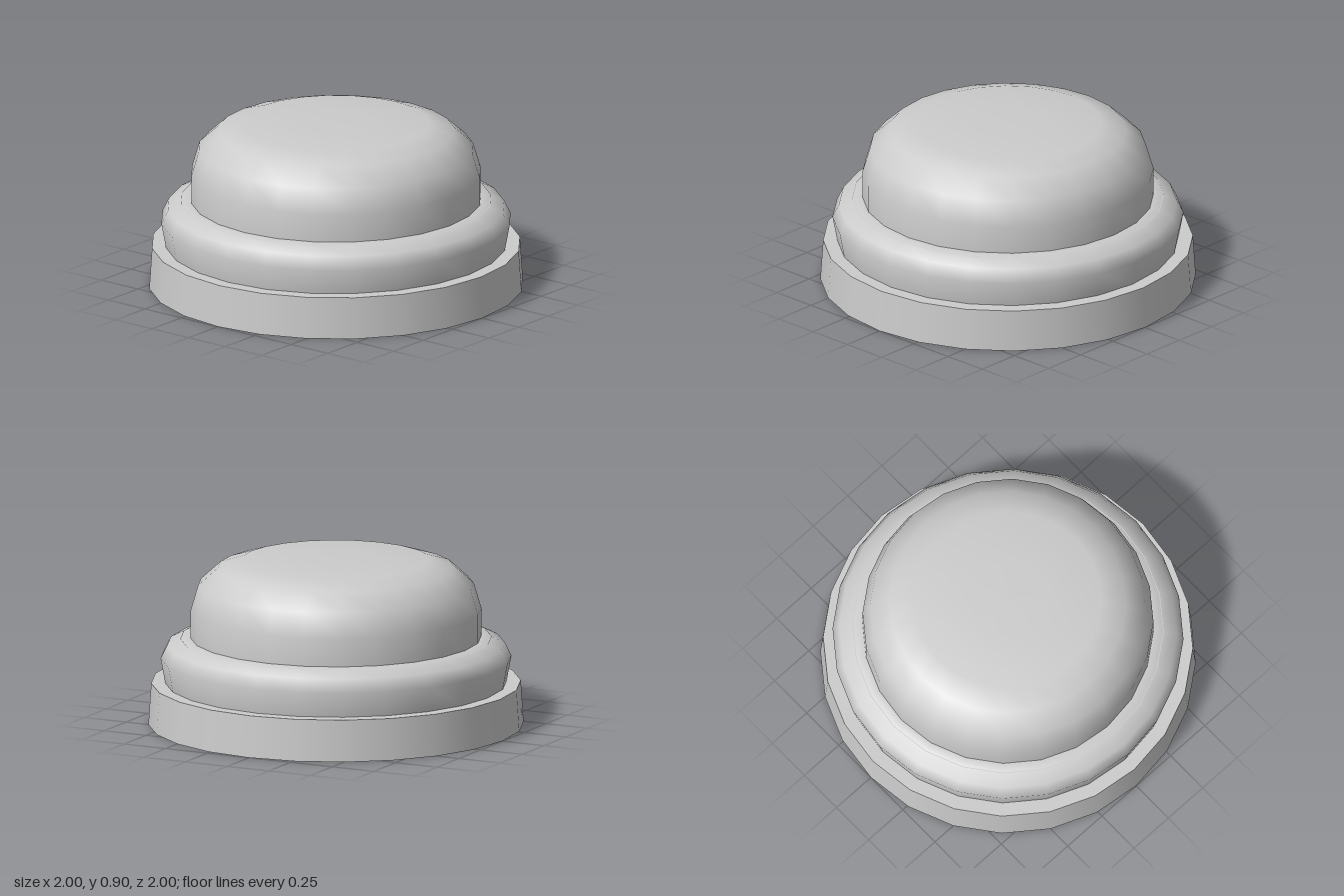
import * as THREE from 'three';
import { mergeGeometries } from 'three/addons/utils/BufferGeometryUtils.js';

const SIDES = 24;

// Each run is a smooth strip of [radius, height] points; edges between runs stay sharp.
function turned(name, runs) {
  const strips = runs.map(run =>
    new THREE.LatheGeometry(run.map(([r, y]) => new THREE.Vector2(r, y)), SIDES));
  const mesh = new THREE.Mesh(
    mergeGeometries(strips),
    new THREE.MeshStandardMaterial({ color: 0xcccccc, side: THREE.DoubleSide }));
  mesh.name = name;
  return mesh;
}

export function createModel() {
  const group = new THREE.Group();
  group.name = 'domedButton';

  // Base collar: double wall, open along the bottom, with an inward flange at its top
  group.add(turned('baseCollar', [
    [[1, 0], [0.985, 0.225]],
    [[0.985, 0.225], [0.91, 0.225]],
    [[0.87, 0.17], [0.925, 0.17]],
    [[0.925, 0.17], [0.94, 0]],
  ]));

  // Middle ring: bulging double shell whose inside narrows towards the cap
  group.add(turned('middleRing', [
    [[0.91, 0.225], [0.935, 0.36], [0.9, 0.43], [0.82, 0.468], [0.775, 0.47]],
    [[0.83, 0.46], [0.85, 0.4]],
    [[0.85, 0.4], [0.885, 0.35], [0.87, 0.17]],
  ]));

  // Hollow rounded cap with a flat rim underneath
  group.add(turned('cap', [
    [[0.63, 0.465], [0.83, 0.465]],
    [[0.775, 0.465], [0.775, 0.62], [0.735, 0.755], [0.63, 0.85], [0.5, 0.89], [0.2, 0.897], [0, 0.9]],
    [[0, 0.845], [0.2, 0.843], [0.48, 0.835], [0.6, 0.805], [0.685, 0.73], [0.72, 0.61], [0.72, 0.465]],
  ]));

  return group;
}
